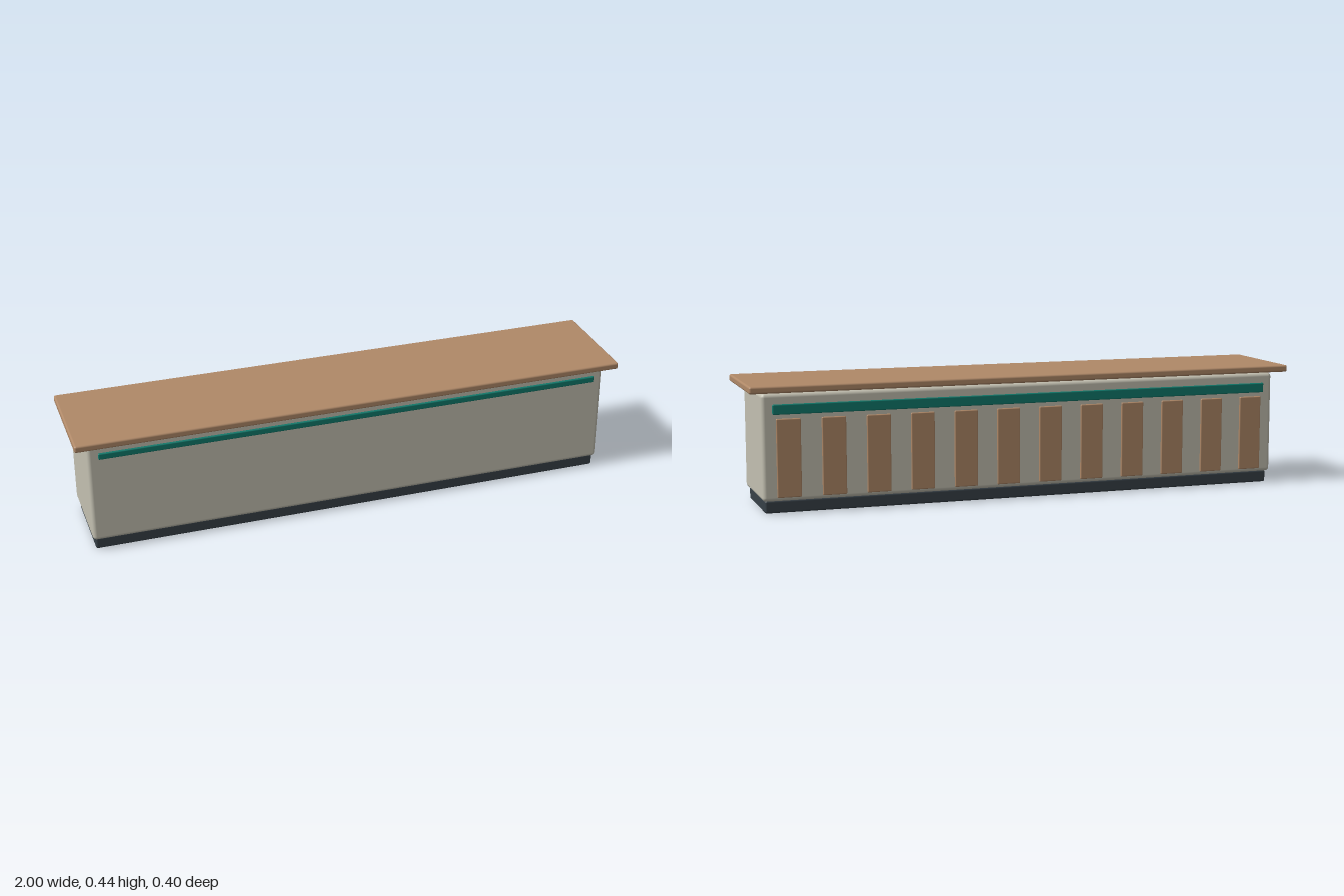
import * as THREE from 'three';
import { RoundedBoxGeometry } from 'three/addons/geometries/RoundedBoxGeometry.js';

export function createModel() {
  const group = new THREE.Group();
  const material = (name, color) => {
    const m = new THREE.MeshStandardMaterial({ color });
    m.name = name;
    return m;
  };
  const wood = material('warm wood', 0xb08968);
  const stone = material('pale stone', 0xc3c0b1);
  const teal = material('teal trim', 0x0f7a6c);
  const dark = material('dark plinth', 0x374047);

  // Rounded block from its size, bottom height and centre
  function block(name, mat, [w, h, d], x, bottom, z, radius) {
    const mesh = new THREE.Mesh(new RoundedBoxGeometry(w, h, d, 3, radius), mat);
    mesh.name = name;
    mesh.position.set(x, bottom + h / 2, z);
    group.add(mesh);
  }

  // Counter: recessed plinth, body and overhanging top
  block('plinth', dark, [1.89, 0.044, 0.292], 0, 0, 0, 0.007);
  block('counterBody', stone, [1.91, 0.37, 0.324], 0, 0.043, 0, 0.014);
  block('counterTop', wood, [2, 0.025, 0.396], 0, 0.418, 0, 0.007);

  // Trim strips along the front and back
  block('frontTrim', teal, [1.835, 0.023, 0.01], 0, 0.365, 0.168, 0.004);
  block('backTrim', teal, [1.835, 0.035, 0.01], 0, 0.342, -0.167, 0.004);

  // Row of upright slats on the back
  const count = 12;
  for (let i = 0; i < count; i++) {
    const x = -0.864 + (1.728 * i) / (count - 1);
    block('backSlat' + (i + 1), wood, [0.085, 0.271, 0.009], x, 0.057, -0.1685, 0.004);
  }
  return group;
}
